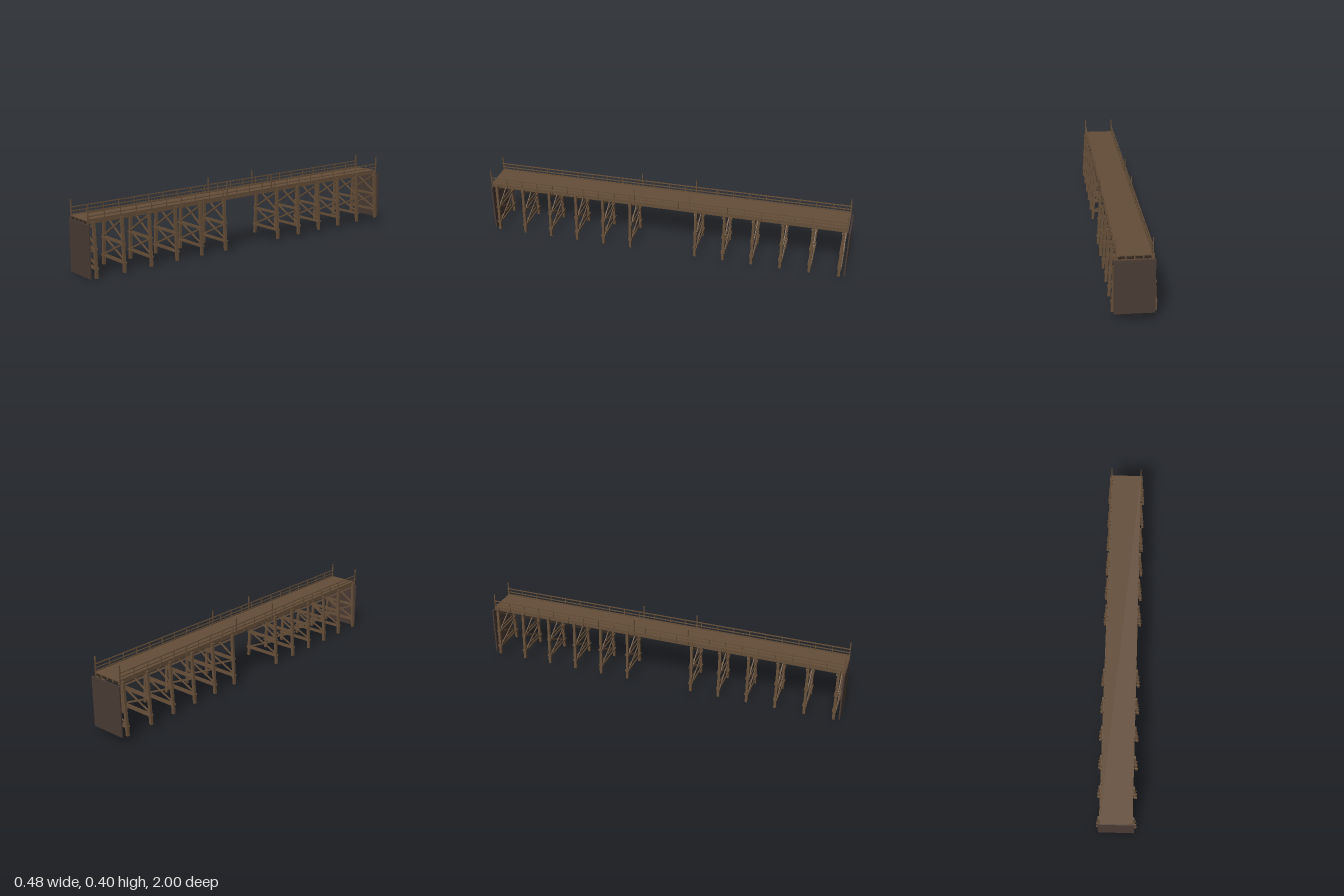
import * as THREE from 'three';

const SLOPE = 0.0202, YAW = -0.137;
const mat = (name, color) => Object.assign(new THREE.MeshStandardMaterial({ color }), { name });

export function createModel() {
  const timber = mat('timber', 0x654e38);
  const planking = mat('planking', 0x644e39);
  const abutment = mat('abutment boards', 0x4a3b34);
  const dark = mat('dark timber', 0x33281f);

  const model = new THREE.Group();
  model.name = 'trestleBridge';
  const bridge = new THREE.Group();
  bridge.name = 'bridge';
  bridge.rotation.y = YAW;
  model.add(bridge);

  const box = (parent, name, m, w, h, d, x, y, z) => {
    const mesh = new THREE.Mesh(new THREE.BoxGeometry(w, h, d), m);
    mesh.name = name;
    mesh.position.set(x, y, z);
    parent.add(mesh);
    return mesh;
  };

  // A beam lying in the plane of a bent, from (x1, y1) to (x2, y2)
  const beam = (parent, name, x1, y1, x2, y2, width, depth, z) => {
    const b = box(parent, name, timber, width, Math.hypot(x2 - x1, y2 - y1), depth,
      (x1 + x2) / 2, (y1 + y2) / 2, z);
    b.rotation.z = Math.atan2(x1 - x2, y2 - y1);
  };
  const rise = z => 0.02 - z * SLOPE;

  // Sloping deck, its beams and its railings share one tilted group
  const deck = new THREE.Group();
  deck.name = 'deck';
  deck.rotation.x = SLOPE;
  deck.position.y = 0.02;
  bridge.add(deck);
  const L = 1.978;
  box(deck, 'deckPlanks', planking, 0.166, 0.005, L, 0, 0.2835, 0);
  for (let i = -2; i <= 2; i++)
    box(deck, 'stringer', timber, 0.007, 0.014, L, i * 0.0395, 0.274, 0);
  for (const s of [-1, 1])
    box(deck, 'endBoard', dark, 0.16, 0.013, 0.004, 0, 0.274, s * (L / 2 - 0.004));

  // Railings
  for (const s of [-1, 1]) {
    const x = s * 0.082;
    box(deck, 'curb', timber, 0.004, 0.006, L, x, 0.289, 0);
    box(deck, 'middleRail', timber, 0.0035, 0.005, L, x, 0.305, 0);
    box(deck, 'topRail', timber, 0.0045, 0.005, L, x, 0.325, 0);
    for (let i = 0; i <= 22; i++)
      box(deck, 'baluster', timber, 0.004, 0.056, 0.004, x + s * 0.001, 0.298, (i / 22 - 0.5) * (L - 0.01));
    for (const z of [-0.984, -0.153, 0.153, 0.984])
      box(deck, 'tallPost', timber, 0.005, 0.096, 0.006, x + s * 0.001, 0.317, z);
  }

  // One bent: cap, two splayed legs, cross ties and two tiers of X braces
  const makeBent = z => {
    const bent = new THREE.Group();
    bent.name = 'bent';
    bent.position.set(0, rise(z), z);
    bridge.add(bent);
    const legX = y => 0.1 - 0.052 * y;
    box(bent, 'cap', timber, 0.186, 0.015, 0.014, 0, 0.273, 0);
    for (const s of [-1, 1])
      beam(bent, 'leg', s * legX(0), 0.0, s * legX(0.267), 0.267, 0.014, 0.014, 0);
    for (const y of [0.05, 0.145])
      for (const s of [-1, 1])
        box(bent, 'crossTie', timber, 2 * legX(y) + 0.02, 0.009, 0.005, 0, y, s * 0.0085);
    for (const [a, b] of [[0.053, 0.14], [0.15, 0.26]])
      for (const s of [-1, 1])
        beam(bent, 'diagonalBrace', -s * legX(a), a, s * legX(b), b, 0.009, 0.005, s * 0.008);
  };
  for (let i = 0; i < 6; i++)
    for (const s of [-1, 1]) makeBent(s * (0.183 + 0.156 * i));

  // Boarded abutment walls closing both ends
  for (const s of [-1, 1])
    box(bridge, 'abutmentWall', abutment, 0.19, 0.265, 0.008, 0, 0.1325 + rise(s * 0.99), s * 0.992);

  return model;
}
